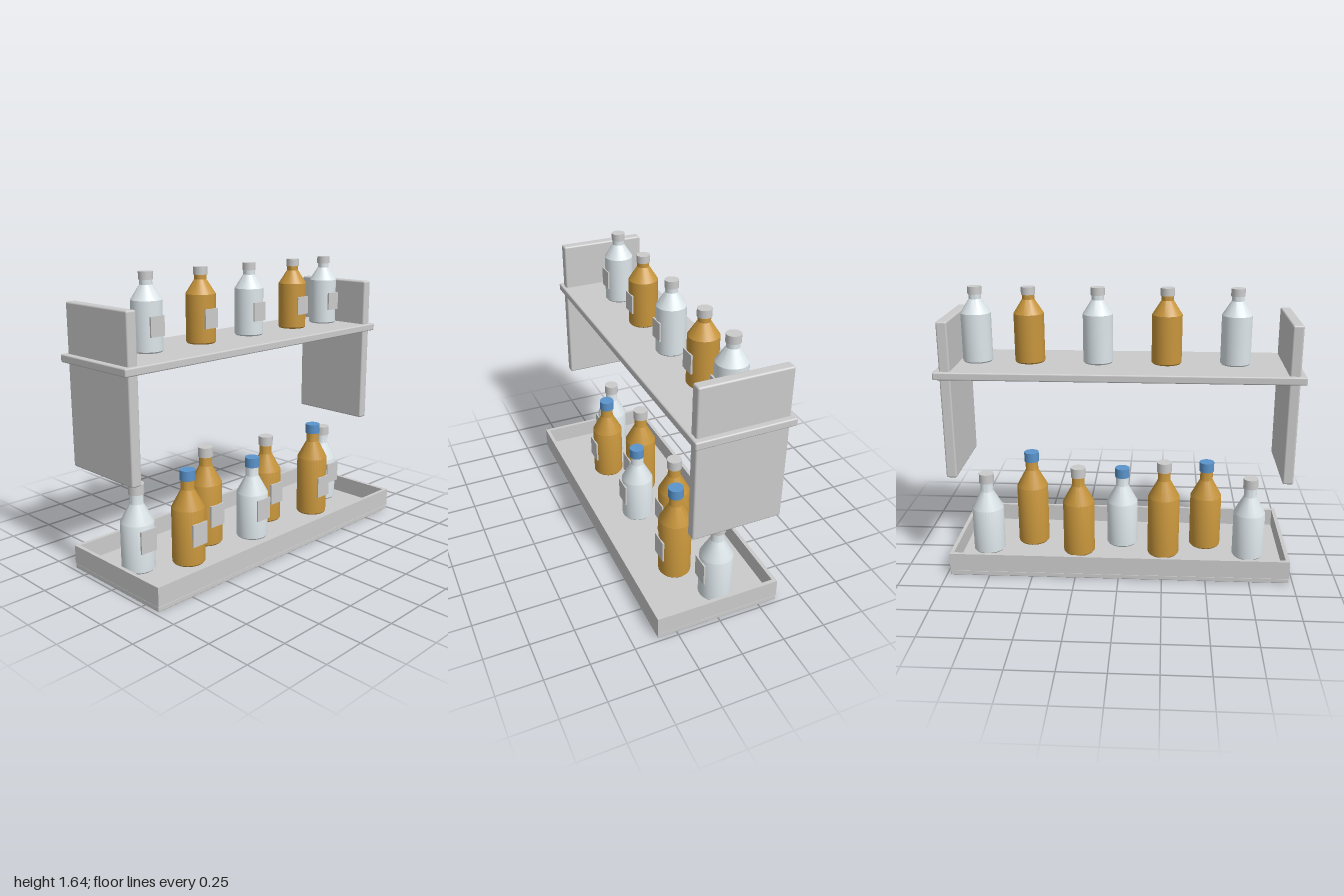
import * as THREE from 'three';
import { toCreasedNormals } from 'three/addons/utils/BufferGeometryUtils.js';
import { RoundedBoxGeometry } from 'three/addons/geometries/RoundedBoxGeometry.js';

const mat = (color) => new THREE.MeshStandardMaterial({ color });
const grey = mat(0xcccccc);
const clearGlass = mat(0xdde6ea);
const amberGlass = mat(0xc8963c);
const blue = mat(0x5a94cc);

function addMesh(parent, name, geometry, material, x = 0, y = 0, z = 0) {
  const mesh = new THREE.Mesh(geometry, material);
  mesh.name = name;
  mesh.position.set(x, y, z);
  parent.add(mesh);
  return mesh;
}

// Box given by its extents, with slightly softened edges
function slab(parent, name, [x0, x1], [y0, y1], [z0, z1], radius) {
  const geometry = new RoundedBoxGeometry(x1 - x0, y1 - y0, z1 - z0, 2, radius);
  addMesh(parent, name, geometry, grey, (x0 + x1) / 2, (y0 + y1) / 2, (z0 + z1) / 2);
}

// Bottle standing on its own origin: turned glass, cap and a flat label plate
function makeBottle(s, height, glass, capMaterial) {
  const bottle = new THREE.Group();
  bottle.name = 'bottle';
  const profile = [
    [0, 0], [s.radius - 0.006, 0], [s.radius, 0.008],
    [s.radius, height - s.shoulder], [s.neckRadius, height - s.neck],
    [s.neckRadius, height - s.cap / 2], [0, height - s.cap / 2],
  ].map(([r, y]) => new THREE.Vector2(r, y));
  const body = toCreasedNormals(new THREE.LatheGeometry(profile, 32), 0.5);
  addMesh(bottle, 'bottleGlass', body, glass);
  addMesh(bottle, 'bottleCap', new THREE.CylinderGeometry(s.capRadius, s.capRadius, s.cap, 28),
    capMaterial, 0, height - s.cap / 2, 0);
  const [w, h] = s.label;
  addMesh(bottle, 'bottleLabel', new THREE.BoxGeometry(w, h, 0.01), grey,
    0, s.labelBottom + h / 2, s.radius + 0.001);
  return bottle;
}

export function createModel() {
  const model = new THREE.Group();
  model.name = 'bottleShelf';

  // Tray: base plate and raised rim
  const tray = new THREE.Group();
  tray.name = 'tray';
  model.add(tray);
  const hx = 0.978, hz = 0.361, wall = 0.022;
  slab(tray, 'trayBase', [-hx, hx], [0, 0.03], [-hz, hz], 0.005);
  const rectangle = (Type, x, y) => new Type().moveTo(-x, -y).lineTo(x, -y).lineTo(x, y).lineTo(-x, y).closePath();
  const rimShape = rectangle(THREE.Shape, hx, hz);
  rimShape.holes.push(rectangle(THREE.Path, hx - wall, hz - wall));
  const rim = new THREE.ExtrudeGeometry(rimShape, { depth: 0.107, bevelEnabled: false });
  rim.rotateX(-Math.PI / 2);
  addMesh(tray, 'trayRim', rim, grey, 0, 0.028, 0);

  // Upper shelf carried between two side panels
  slab(model, 'shelf', [-1, 1], [1.176, 1.22], [-0.361, 0.19], 0.008);
  for (const [name, x] of [['leftPanel', 0.937], ['rightPanel', -0.937]]) {
    slab(model, name, [x - 0.03, x + 0.03], [0.603, 1.492], [-0.34, 0.17], 0.01);
  }

  // Tray bottles, alternating between a back and a front row
  const large = {
    radius: 0.094, shoulder: 0.216, neck: 0.112, neckRadius: 0.038,
    cap: 0.057, capRadius: 0.044, label: [0.105, 0.13], labelBottom: 0.122,
  };
  const trayBottles = [
    [-0.767, 0.492, clearGlass, grey],
    [-0.513, 0.54, amberGlass, blue],
    [-0.257, 0.584, amberGlass, grey],
    [-0.003, 0.492, clearGlass, blue],
    [0.253, 0.54, amberGlass, grey],
    [0.55, 0.584, amberGlass, blue],
    [0.805, 0.492, clearGlass, grey],
  ];
  trayBottles.forEach(([x, height, glass, cap], i) => {
    const bottle = makeBottle(large, height, glass, cap);
    bottle.name = 'trayBottle' + (i + 1);
    bottle.position.set(x, 0.03, i % 2 ? 0.066 : -0.064);
    model.add(bottle);
  });

  // Shelf bottles in a single row
  const small = {
    radius: 0.084, shoulder: 0.146, neck: 0.068, neckRadius: 0.034,
    cap: 0.042, capRadius: 0.039, label: [0.092, 0.108], labelBottom: 0.088,
  };
  [-0.64, -0.258, 0.125, 0.509, 0.806].forEach((x, i) => {
    const bottle = makeBottle(small, 0.42, i % 2 ? amberGlass : clearGlass, grey);
    bottle.name = 'shelfBottle' + (i + 1);
    bottle.position.set(x, 1.221, -0.087);
    model.add(bottle);
  });

  return model;
}
